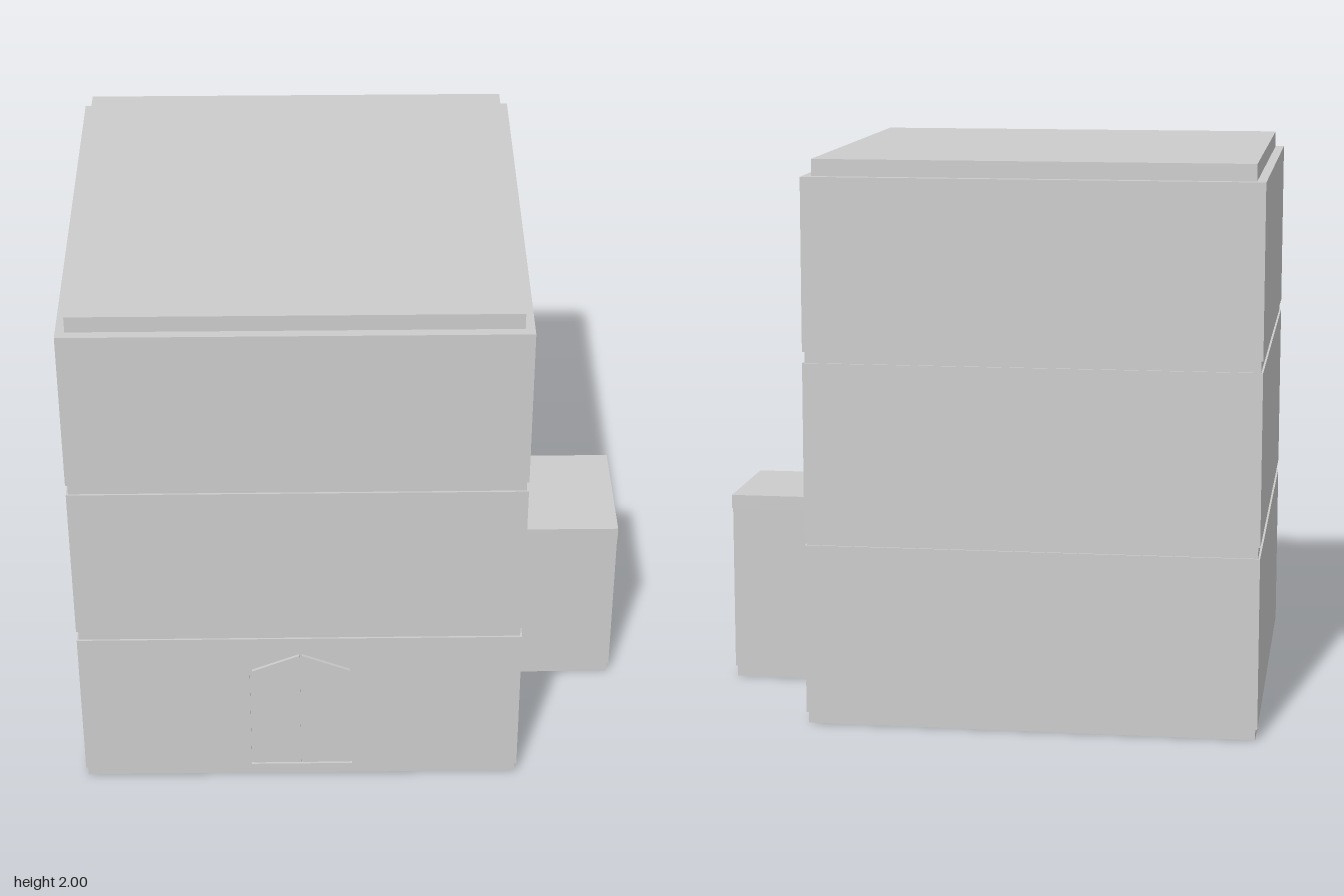
import * as THREE from 'three';

const material = new THREE.MeshStandardMaterial({ color: 0xcccccc, flatShading: true });

// Box given by its extents on each axis
function block(name, [x0, x1], [y0, y1], [z0, z1]) {
  const geo = new THREE.BoxGeometry(x1 - x0, y1 - y0, z1 - z0);
  geo.translate((x0 + x1) / 2, (y0 + y1) / 2, (z0 + z1) / 2);
  const mesh = new THREE.Mesh(geo, material);
  mesh.name = name;
  return mesh;
}

const outline = (pts) => pts.map(([x, y]) => new THREE.Vector2(x, y));
const rect = (x0, x1, y0, y1) => outline([[x0, y0], [x1, y0], [x1, y1], [x0, y1]]);

// Flat plate facing +z, optionally with one opening
function plate(name, points, depth, hole) {
  const shape = new THREE.Shape(points);
  if (hole) shape.holes.push(new THREE.Path(hole));
  const geo = new THREE.ExtrudeGeometry(shape, { depth, bevelEnabled: false });
  const mesh = new THREE.Mesh(geo, material);
  mesh.name = name;
  return mesh;
}

export function createModel() {
  const model = new THREE.Group();
  model.name = 'building';

  const X = [-0.995, 0.6], Z = [-0.8, 0.8];
  const storey = 0.647, band = 0.04, inset = 0.007, skin = 0.01;

  // Three storeys, each on a slightly recessed band
  for (let i = 0; i < 3; i++) {
    const y = i * storey;
    const front = i === 0 ? Z[1] - skin : Z[1];
    model.add(block('storeyBand', [X[0] + inset, X[1] - inset], [y, y + band], [Z[0] + inset, Z[1] - inset]));
    model.add(block('storeyWall', X, [y + band, y + storey], [Z[0], front]));
  }

  // Roof slab
  model.add(block('roofSlab', [-0.963, 0.567], [3 * storey, 2], [-0.766, 0.766]));

  // Ground floor facade with a gabled doorway
  const doorway = outline([[-0.38, 0.05], [-0.01, 0.05], [-0.01, 0.503], [-0.195, 0.58], [-0.38, 0.503]]);
  const facade = plate('frontFacade', rect(X[0], X[1], band, storey), skin, doorway);
  facade.position.z = Z[1] - skin;
  model.add(facade);

  // Pair of door leaves set into the doorway, with thin gaps around them
  for (const side of [-1, 1]) {
    const pts = [[0.003, 0.058], [0.177, 0.058], [0.177, 0.497], [0.003, 0.569]]
      .map(([x, y]) => [-0.195 + side * x, y]);
    const leaf = plate('doorLeaf', outline(pts), skin + 0.001);
    leaf.position.z = Z[1] - skin;
    model.add(leaf);
  }

  // Side porch: plinth, wall and cap slab
  const porch = new THREE.Group();
  porch.name = 'porch';
  const wz = [-0.226, 0.232];
  porch.add(block('porchPlinth', [0.59, 0.988], [0, band], [wz[0] + 0.004, wz[1] - 0.004]));
  porch.add(block('porchWall', [0.59, 0.982], [band, 0.65], wz));
  porch.add(block('porchRoof', [0.59, 0.995], [0.65, 0.7], [-0.237, 0.236]));

  // Outer end of the porch with a shallow recessed panel
  const frame = plate('porchEndFrame', rect(-wz[1], -wz[0], band, 0.65), 0.012,
    rect(-wz[1] + 0.03, -wz[0] - 0.03, 0.05, 0.63));
  frame.rotation.y = Math.PI / 2;
  frame.position.x = 0.982;
  porch.add(frame);
  model.add(porch);

  return model;
}
